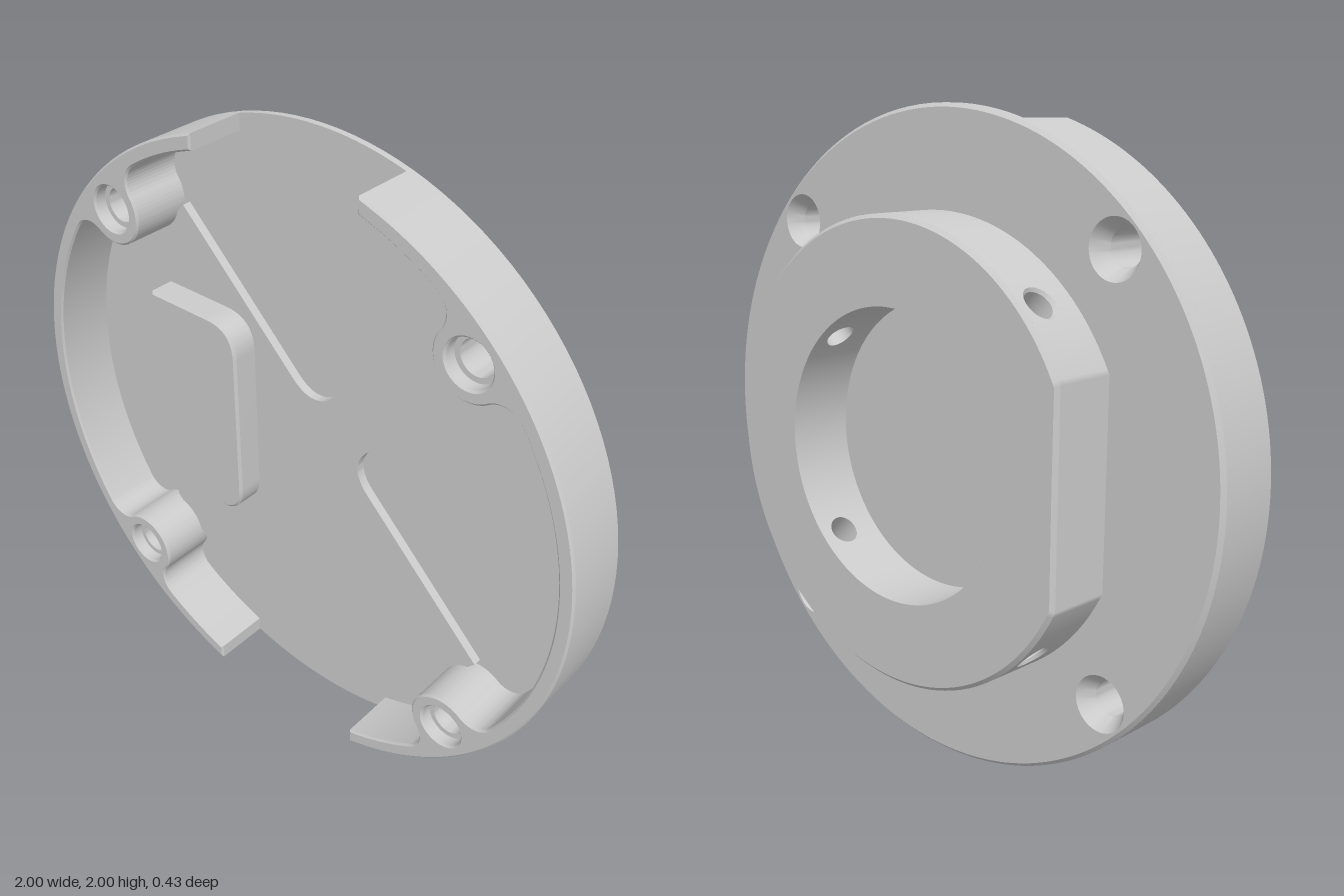
import * as THREE from 'three';
import { toCreasedNormals } from 'three/addons/utils/BufferGeometryUtils.js';
import { ParametricGeometry } from 'three/addons/geometries/ParametricGeometry.js';

const solid = new THREE.MeshStandardMaterial({ color: 0xcccccc });
const sheet = new THREE.MeshStandardMaterial({ color: 0xcccccc, side: THREE.DoubleSide });
const PI = Math.PI, RAD = PI / 180;
const BACK = -0.215, PLATE = -0.005, FLOOR = 0.027, RIB = 0.055, TOP = 0.215;
const SCREW_D = 0.895; // screw distance from the centre
const diagonals = [45, 135, 225, 315].map(a => a * RAD);

function add(parent, name, geo, mat = solid) {
  const mesh = new THREE.Mesh(geo, mat);
  mesh.name = name;
  parent.add(mesh);
  return mesh;
}

// extrude a shape from z0 to z1 with an optional chamfer inside the outline
function extrude(shape, z0, z1, bevel = 0) {
  const geo = new THREE.ExtrudeGeometry(shape, {
    depth: z1 - z0 - 2 * bevel, curveSegments: 40, bevelEnabled: bevel > 0,
    bevelSize: bevel, bevelThickness: bevel, bevelOffset: -bevel, bevelSegments: 1,
  });
  return toCreasedNormals(geo.translate(0, 0, z0 + bevel), 0.5);
}

// turn [radius, z] points around the z axis
function lathe(points, segments) {
  const geo = new THREE.LatheGeometry(points.map(p => new THREE.Vector2(...p)), segments);
  return toCreasedNormals(geo.rotateX(PI / 2), 0.4);
}

function circleHole(shape, x, y, r) {
  shape.holes.push(new THREE.Path().absarc(x, y, r, 0, 2 * PI, true));
}

// polygon of [x, y, cut] corners, each rounded off over the length cut
function roundedPolygon(points) {
  const shape = new THREE.Shape();
  points.forEach(([x, y, cut], i) => {
    const c = new THREE.Vector2(x, y);
    const toward = j => {
      const q = points[(j + points.length) % points.length];
      return new THREE.Vector2(q[0], q[1]).sub(c).setLength(cut).add(c);
    };
    const a = toward(i - 1), b = toward(i + 1);
    if (i === 0) shape.moveTo(a.x, a.y); else shape.lineTo(a.x, a.y);
    if (cut > 0) shape.quadraticCurveTo(x, y, b.x, b.y);
  });
  shape.closePath();
  return shape;
}

// half of the raised rim, flowing into two screw bosses
function rimShape() {
  const Ri = 0.953, f = 0.07, b = 0.11, E = Ri - f, gap = 0.285;
  const delta = Math.acos((SCREW_D ** 2 + E ** 2 - (b + f) ** 2) / (2 * SCREW_D * E));
  const A = Math.acos(gap), B = Math.acos(gap / Ri);
  const polar = (r, a) => new THREE.Vector2(r * Math.cos(a), r * Math.sin(a));
  const heading = (p, q) => Math.atan2(q.y - p.y, q.x - p.x);
  const s = new THREE.Shape().absarc(0, 0, 1, -A, A, false);
  let from = B;
  for (const c of [PI / 4, -PI / 4]) {
    const boss = polar(SCREW_D, c), f1 = polar(E, c + delta), f2 = polar(E, c - delta);
    s.absarc(0, 0, Ri, from, c + delta, true);
    s.absarc(f1.x, f1.y, f, c + delta, heading(f1, boss), true);
    s.absarc(boss.x, boss.y, b, heading(boss, f1), heading(boss, f2), false);
    s.absarc(f2.x, f2.y, f, heading(f2, boss), c - delta, true);
    from = c - delta;
    circleHole(s, boss.x, boss.y, 0.07);
  }
  s.absarc(0, 0, Ri, from, -B, true);
  return s;
}

// collar outline: a circle with one flat side
const FLAT = 0.63, STEP = 60 / 43;
const outerR = t => (Math.cos(t) < -0.9 ? -FLAT / Math.cos(t) : 0.7);
const innerR = () => 0.44;

// strip of collar wall between two angles (degrees), from (dr0, z0) to (dr1, z1)
function strip(radius, a0, a1, dr0, z0, dr1, z1) {
  return new ParametricGeometry((u, v, p) => {
    const t = (a0 + (a1 - a0) * u) * RAD;
    const r = radius(t) + dr0 + (dr1 - dr0) * v;
    p.set(r * Math.cos(t), r * Math.sin(t), z0 + (z1 - z0) * v);
  }, Math.round((a1 - a0) / STEP), 1);
}

// point on a cylinder of radius R, at sideways offset a from the direction t
function onCylinder(p, t, R, a, z) {
  const d = Math.sqrt(R * R - a * a);
  return p.set(d * Math.cos(t) - a * Math.sin(t), d * Math.sin(t) + a * Math.cos(t), z);
}

// curved wall patch with a round hole in it
const HOLE_Z = -0.13, HALF = 15;
function holedPatch(t, R, r, z0, z1) {
  const w = R * Math.sin(HALF * RAD);
  return new ParametricGeometry((u, v, p) => {
    const c = Math.cos(u * 2 * PI), s = Math.sin(u * 2 * PI);
    const m = Math.max(Math.abs(c), Math.abs(s));
    const edgeZ = z0 + (z1 - z0) * (s / m + 1) / 2;
    onCylinder(p, t, R, r * c * (1 - v) + (w * c / m) * v, (HOLE_Z + r * s) * (1 - v) + edgeZ * v);
  }, 64, 5);
}

function bore(t, R0, r0, R1, r1) {
  return new ParametricGeometry((u, v, p) => {
    const c = Math.cos(u * 2 * PI), s = Math.sin(u * 2 * PI), r = r0 + (r1 - r0) * v;
    onCylinder(p, t, R0 + (R1 - R0) * v, r * c, HOLE_Z + r * s);
  }, 32, 1);
}

function buildCollar() {
  const collar = new THREE.Group();
  collar.name = 'collar';
  const ch = 0.012, zc = BACK + ch;
  // walls between the set-screw holes
  for (const a of [-30, 60, 150, 240]) {
    add(collar, 'collarOuterWall', strip(outerR, a, a + 60, 0, zc, 0, PLATE), sheet);
    add(collar, 'collarInnerWall', strip(innerR, a, a + 60, 0, BACK, 0, PLATE), sheet);
  }
  add(collar, 'collarChamfer', strip(outerR, 150, 510, -ch, BACK, 0, zc), sheet);
  // set-screw holes through the ring
  for (const t of diagonals) {
    add(collar, 'collarOuterWall', holedPatch(t, 0.7, 0.053, zc, PLATE), sheet);
    add(collar, 'collarInnerWall', holedPatch(t, 0.44, 0.045, BACK, PLATE), sheet);
    add(collar, 'setScrewCountersink', bore(t, 0.7, 0.053, 0.69, 0.045), sheet);
    add(collar, 'setScrewHole', bore(t, 0.69, 0.045, 0.44, 0.045), sheet);
  }
  // end face
  const points = [];
  for (let i = 0; i < 258; i++) {
    const t = (150 + i * STEP) * RAD, r = outerR(t) - ch;
    points.push(new THREE.Vector2(r * Math.cos(t), r * Math.sin(t)));
  }
  const face = new THREE.Shape(points);
  circleHole(face, 0, 0, 0.44);
  add(collar, 'collarFace', new THREE.ShapeGeometry(face, 128).translate(0, 0, BACK), sheet);
  return collar;
}

function buildPlate() {
  const plate = new THREE.Group();
  plate.name = 'plate';
  const faces = [['plateBack', 0.988, PLATE], ['plateFront', 1, FLOOR]];
  for (const [name, r, z] of faces) {
    const disc = new THREE.Shape().absarc(0, 0, r, 0, 2 * PI, false);
    for (const t of diagonals) circleHole(disc, SCREW_D * Math.cos(t), SCREW_D * Math.sin(t), 0.085);
    add(plate, name, new THREE.ShapeGeometry(disc, 128).translate(0, 0, z), sheet);
  }
  add(plate, 'plateEdge', lathe([[0.988, PLATE], [1, PLATE + 0.012], [1, FLOOR]], 128), sheet);
  return plate;
}

export function createModel() {
  const model = new THREE.Group();
  model.name = 'roundHousingCover';
  const body = new THREE.Group();
  body.name = 'body';
  body.position.y = 1;
  model.add(body);

  body.add(buildPlate(), buildCollar());

  // raised rim in two halves, open at the top and bottom
  const rim = extrude(rimShape(), 0.018, TOP, 0.006);
  add(body, 'leftRim', rim);
  add(body, 'rightRim', rim).rotation.z = PI;

  // countersunk, counterbored screw holes
  const screwHole = lathe([[0.085, PLATE], [0.053, 0.045], [0.053, 0.175], [0.07, 0.175], [0.07, TOP - 0.006]], 40);
  for (const t of diagonals) {
    add(body, 'screwHole', screwHole, sheet).position.set(SCREW_D * Math.cos(t), SCREW_D * Math.sin(t), 0);
  }

  // cross-shaped rib, filled in on the right side under the pad
  const k = 0.13, c = 0.115, p = 0.501, q = 0.631;
  const cross = roundedPolygon([
    [k, 0, c], [q, p, 0], [p, q, 0], [0, k, c], [-p, q, 0], [-q, p, 0], [-0.575, 0.445, 0.05],
    [-0.575, -0.445, 0.05], [-q, -p, 0], [-p, -q, 0], [0, -k, c], [p, -q, 0], [q, -p, 0],
  ]);
  add(body, 'crossRib', extrude(cross, 0.01, RIB));

  // raised pad with two rounded corners
  const pad = roundedPolygon([
    [-0.58, -0.345, 0], [-0.232, -0.345, 0.11], [-0.232, 0.35, 0.11], [-0.58, 0.35, 0],
  ]);
  add(body, 'pad', extrude(pad, 0.01, 0.14, 0.008));

  return model;
}
